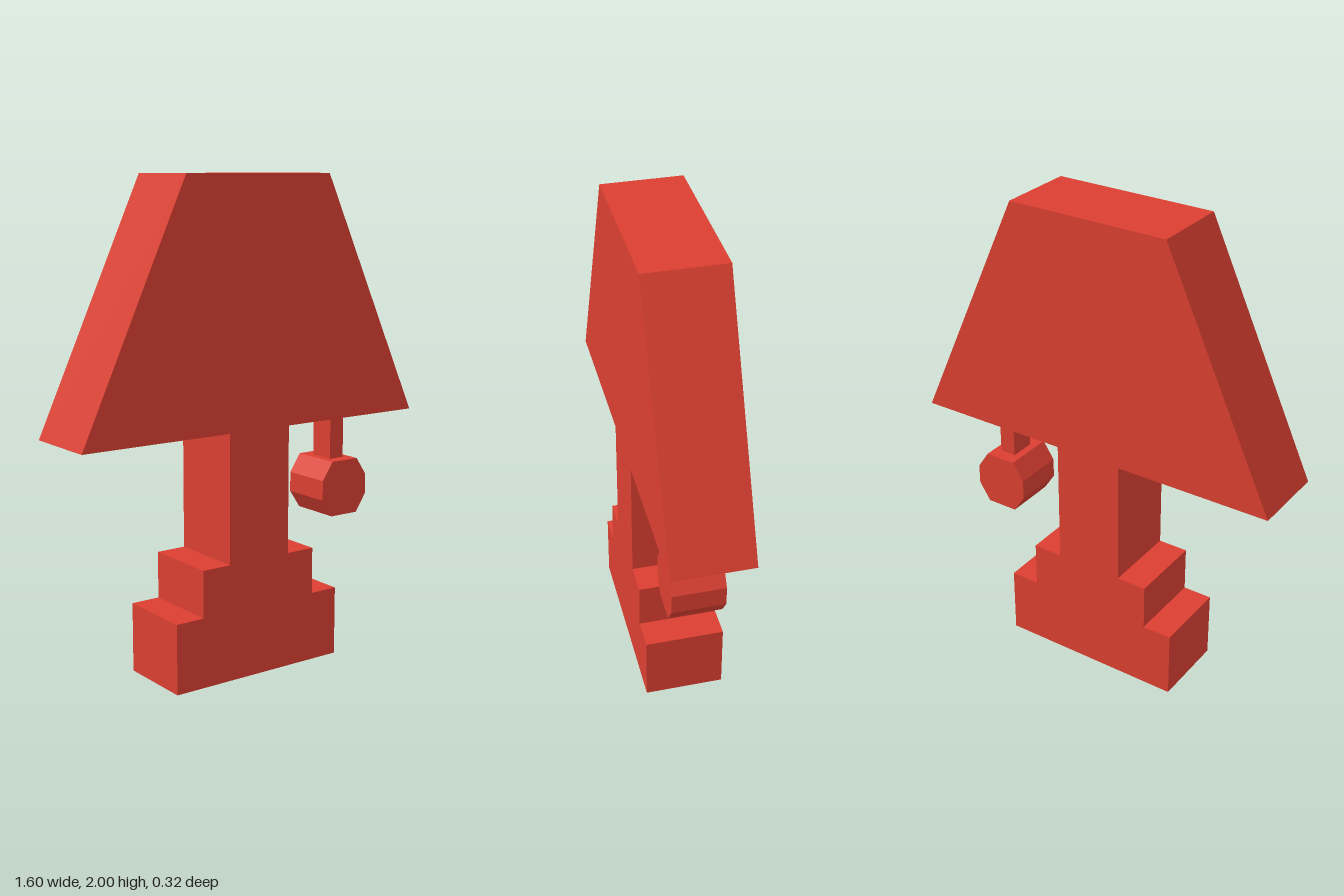
import * as THREE from 'three';

const red = new THREE.MeshStandardMaterial({ color: 0xdb3f31 });
red.name = 'red';

// Extrudes a front outline to a slab centred on z = 0
function slab(name, points, depth) {
  const shape = new THREE.Shape(points.map(([x, y]) => new THREE.Vector2(x, y)));
  const geometry = new THREE.ExtrudeGeometry(shape, { depth, bevelEnabled: false });
  geometry.translate(0, 0, -depth / 2);
  const mesh = new THREE.Mesh(geometry, red);
  mesh.name = name;
  return mesh;
}

// Symmetric four-sided outline from bottom and top half widths
const taper = (bottom, top, y0, y1) => [[-bottom, y0], [bottom, y0], [top, y1], [-top, y1]];

export function createModel() {
  const lamp = new THREE.Group();
  lamp.name = 'tableLamp';
  const depth = 0.325;

  // Stepped foot, post and shade
  lamp.add(
    slab('base', taper(0.398, 0.398, 0, 0.288), depth),
    slab('baseStep', taper(0.273, 0.273, 0.288, 0.482), depth),
    slab('post', taper(0.145, 0.145, 0.482, 1.01), depth),
    slab('shade', taper(0.8, 0.34, 1.01, 2), depth),
  );

  // Pull switch hanging from the shade on the lamp's left
  const pull = new THREE.Group();
  pull.name = 'pullSwitch';
  pull.position.set(0.487, 0.698, 0);
  const r = 0.117, a = 0.067, b = 0.042;
  pull.add(
    slab('pullCord', taper(0.035, 0.035, r, 0.312), 0.11),
    slab('pullKnob', [[-a, -r], [a, -r], [r, -b], [r, b], [a, r], [-a, r], [-r, b], [-r, -b]], 0.218),
  );
  lamp.add(pull);
  return lamp;
}
